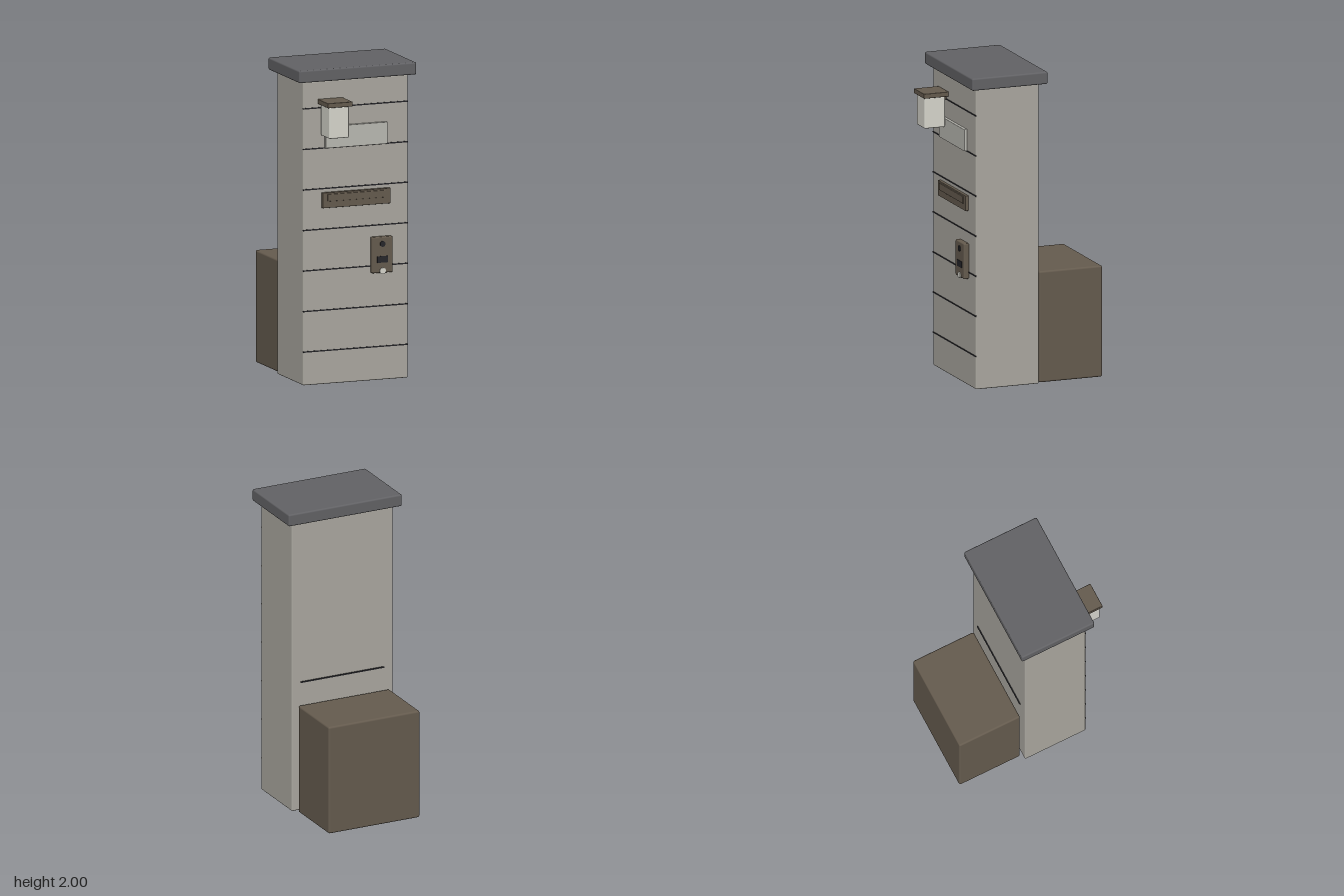
import * as THREE from 'three';
import { RoundedBoxGeometry } from 'three/addons/geometries/RoundedBoxGeometry.js';

const paint = (color) => new THREE.MeshStandardMaterial({ color });

export function createModel() {
  const model = new THREE.Group();
  const stone = paint(0xaaa79f), bronze = paint(0x655b4e), slate = paint(0x626265);
  const glass = paint(0xd6d5cc), plateGrey = paint(0xb9b8b1), dark = paint(0x26262a);

  const add = (name, geometry, material, x, y, z, parent = model) => {
    const mesh = new THREE.Mesh(geometry, material);
    mesh.name = name;
    mesh.position.set(x, y, z);
    parent.add(mesh);
    return mesh;
  };
  // Box given by its limits on each axis; a radius rounds its edges
  const box = (name, material, [x0, x1], [y0, y1], [z0, z1], radius = 0, parent = model) => {
    const size = [x1 - x0, y1 - y0, z1 - z0];
    const geometry = radius
      ? new RoundedBoxGeometry(...size, 3, radius)
      : new THREE.BoxGeometry(...size);
    return add(name, geometry, material, (x0 + x1) / 2, (y0 + y1) / 2, (z0 + z1) / 2, parent);
  };
  const group = (name) => {
    const g = new THREE.Group();
    g.name = name;
    model.add(g);
    return g;
  };

  // Pillar with overhanging cap, and the parcel box behind it
  box('pillar', stone, [-0.352, 0.352], [0.004, 1.92], [-0.075, 0.348], 0.008);
  box('cap', slate, [-0.394, 0.394], [1.922, 2], [-0.118, 0.388], 0.01);
  box('parcelBox', bronze, [-0.317, 0.317], [0, 0.71], [-0.515, -0.092], 0.012);

  // Thin joints across the front, and one seam at the back
  const joints = group('frontJoints');
  for (let i = 0; i < 7; i++) {
    const y = 0.215 + i * 0.256;
    box('joint', dark, [-0.352, 0.352], [y - 0.004, y + 0.004], [0.342, 0.351], 0, joints);
  }
  box('backSeam', dark, [-0.29, 0.29], [0.851, 0.859], [-0.082, -0.07]);

  // Wall lamp
  const lamp = group('lamp');
  box('lampGlass', glass, [-0.241, -0.107], [1.58, 1.778], [0.367, 0.505], 0.008, lamp);
  box('lampRoof', bronze, [-0.255, -0.088], [1.777, 1.807], [0.35, 0.516], 0.003, lamp);
  box('lampBracket', bronze, [-0.215, -0.133], [1.75, 1.778], [0.345, 0.37], 0, lamp);

  // Name plate
  box('namePlate', plateGrey, [-0.208, 0.208], [1.495, 1.633], [0.345, 0.367], 0.002);

  // Letter slot with flap
  const slot = group('letterSlot');
  box('slotFrame', bronze, [-0.228, 0.228], [1.118, 1.215], [0.345, 0.368], 0.002, slot);
  box('slotFlap', bronze, [-0.195, 0.195], [1.16, 1.205], [0.36, 0.374], 0.002, slot);

  // Intercom: camera, display and call button
  const intercom = group('intercom');
  box('intercomBody', bronze, [0.098, 0.238], [0.685, 0.912], [0.345, 0.382], 0.008, intercom);
  box('display', dark, [0.131, 0.204], [0.75, 0.791], [0.376, 0.385], 0, intercom);
  const disc = (name, material, y, radius, depth) => {
    const geometry = new THREE.CylinderGeometry(radius, radius, depth, 24).rotateX(Math.PI / 2);
    add(name, geometry, material, 0.168, y, 0.38, intercom);
  };
  disc('cameraLens', dark, 0.868, 0.018, 0.014);
  disc('callButton', glass, 0.698, 0.02, 0.016);

  return model;
}
